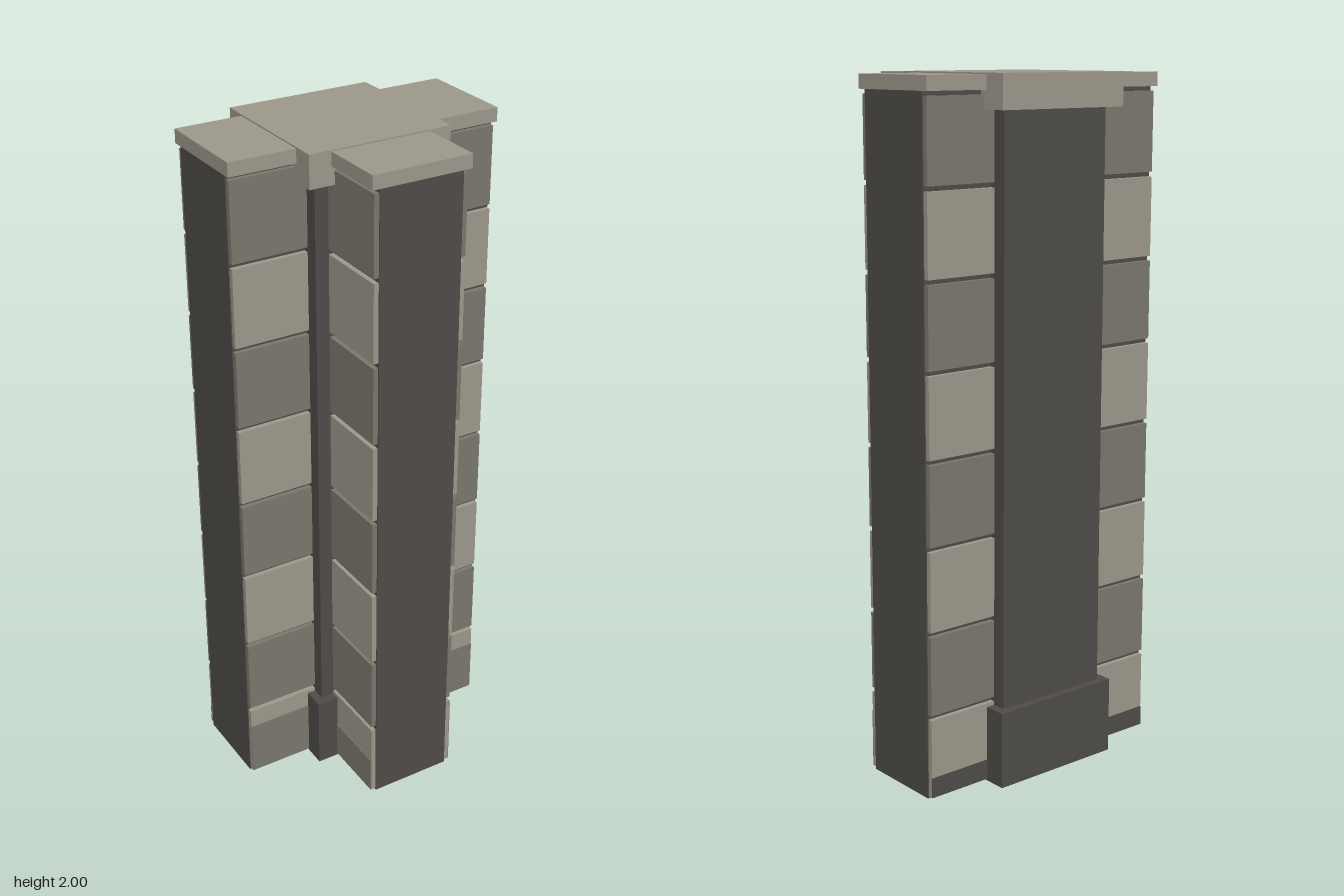
import * as THREE from 'three';

const lightStone = new THREE.MeshStandardMaterial({ color: 0x9c978a });
lightStone.name = 'lightStone';
const midStone = new THREE.MeshStandardMaterial({ color: 0x7a776c });
midStone.name = 'midStone';
const darkStone = new THREE.MeshStandardMaterial({ color: 0x4e4b47 });
darkStone.name = 'darkStone';

// Box given by its minimum and maximum corners
function box(parent, name, material, [x0, y0, z0], [x1, y1, z1]) {
  const mesh = new THREE.Mesh(new THREE.BoxGeometry(x1 - x0, y1 - y0, z1 - z0), material);
  mesh.position.set((x0 + x1) / 2, (y0 + y1) / 2, (z0 + z1) / 2);
  mesh.name = name;
  parent.add(mesh);
}

// Wall arm running along +x; the stain heights are for its +z and -z faces
function wallArm(name, stainPlus, stainMinus) {
  const arm = new THREE.Group();
  arm.name = name;
  const rows = 8, pitch = 0.2438, gap = 0.014;
  box(arm, 'wallCore', darkStone, [0.17, 0, -0.126], [0.411, 1.958, 0.126]);
  box(arm, 'wallCap', lightStone, [0.17, 1.956, -0.15], [0.414, 1.996, 0.15]);

  // Courses of facing blocks in alternating tones on both faces
  for (let i = 0; i < rows; i++) {
    const y0 = i === 0 ? 0.006 : i * pitch + gap / 2;
    const y1 = (i + 1) * pitch - gap / 2;
    for (const s of [-1, 1]) {
      const z = [s * 0.12, s * 0.141].sort((a, b) => a - b);
      box(arm, 'facingBlock', i % 2 ? midStone : lightStone, [0.17, y0, z[0]], [0.408, y1, z[1]]);
    }
  }

  // Darker ground band on the lowest course
  box(arm, 'groundBand', midStone, [0.17, 0.006, 0.139], [0.408, stainPlus, 0.143]);
  box(arm, 'groundBand', stainMinus < 0.1 ? darkStone : midStone,
    [0.17, 0.006, -0.143], [0.408, stainMinus, -0.139]);
  return arm;
}

export function createModel() {
  const model = new THREE.Group();
  model.name = 'wallJunction';

  // Central post with plinth and cap
  const post = new THREE.Group();
  post.name = 'post';
  box(post, 'postShaft', darkStone, [-0.182, 0, -0.182], [0.182, 1.95, 0.182]);
  box(post, 'postPlinth', darkStone, [-0.208, 0, -0.208], [0.208, 0.226, 0.208]);
  box(post, 'postCap', lightStone, [-0.216, 1.905, -0.216], [0.216, 2, 0.216]);
  model.add(post);

  // Arms to the left, right and front
  const left = wallArm('leftArm', 0.178, 0.065);
  const right = wallArm('rightArm', 0.065, 0.178);
  right.rotation.y = Math.PI;
  // The turned arm swaps its faces, so swap the band tones too
  right.children.filter((m) => m.name === 'groundBand')
    .forEach((m, i) => { m.material = i === 0 ? darkStone : midStone; });
  const front = wallArm('frontArm', 0.23, 0.12);
  front.rotation.y = -Math.PI / 2;
  front.children.filter((m) => m.name === 'groundBand').forEach((m, i) => {
    // Taller band belongs on the +x side, which is local -z
    const h = i === 0 ? 0.12 : 0.23;
    m.scale.y = (h - 0.006) / m.geometry.parameters.height;
    m.position.y = (h + 0.006) / 2;
  });
  model.add(left, right, front);
  return model;
}
